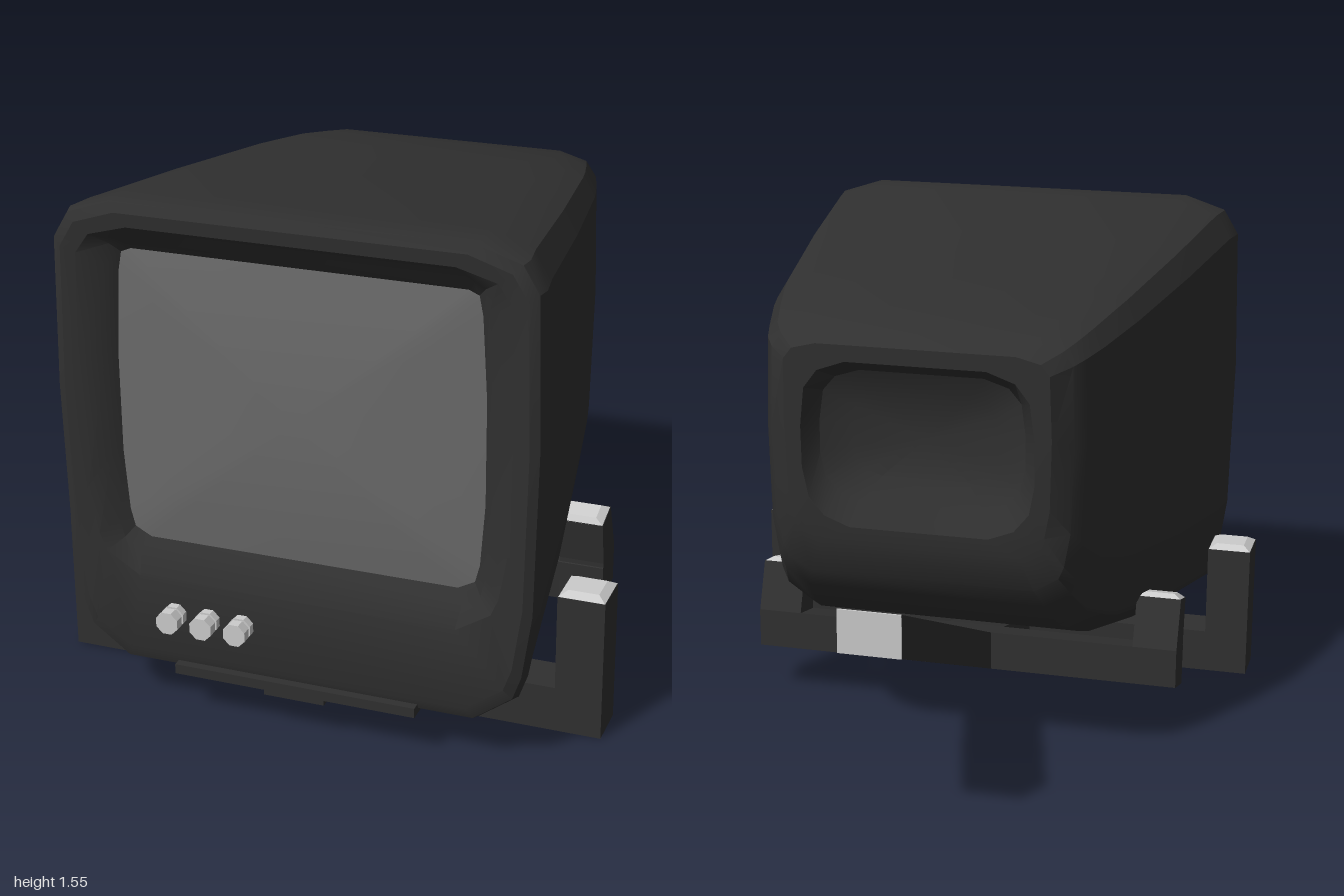
import * as THREE from 'three';
import { toCreasedNormals } from 'three/addons/utils/BufferGeometryUtils.js';

const dark = new THREE.MeshStandardMaterial({ color: 0x303030 });
const glass = new THREE.MeshStandardMaterial({ color: 0x6a6a6a });
const grey = new THREE.MeshStandardMaterial({ color: 0xcccccc });

// Half outlines, top to bottom: [fraction of half width, fraction of height]
const SHELL = [[0.74, 1], [0.92, 0.97], [0.985, 0.915], [1, 0.6], [0.985, 0.25], [0.945, 0.11], [0.91, 0.06], [0.75, 0]];
const SCREEN = [[0.9, 1], [0.955, 0.985], [0.975, 0.92], [1, 0.65], [1, 0.3], [0.975, 0.09], [0.95, 0.03], [0.86, 0]];
const DISH = [[0.6, 1], [0.84, 0.94], [0.96, 0.83], [1, 0.6], [1, 0.35], [0.95, 0.17], [0.82, 0.06], [0.6, 0]];

// One cross-section; tilt moves its lower edge forward
function ring(outline, z, w, top, bottom, tilt = 0) {
  const half = outline.map(([x, f]) => [x * w, bottom + f * (top - bottom), z + tilt * (1 - f)]);
  return [...half, ...half.map(([x, y, d]) => [-x, y, d]).reverse()];
}

// Skin a list of cross-sections that runs from front to back
function loft(rings, crease) {
  const n = rings[0].length;
  const index = [];
  for (let i = 0; i < rings.length - 1; i++) {
    for (let j = 0; j < n; j++) {
      const a = i * n + j, b = i * n + (j + 1) % n;
      index.push(a, b, a + n, b, b + n, a + n);
    }
  }
  const geo = new THREE.BufferGeometry();
  geo.setAttribute('position', new THREE.Float32BufferAttribute(rings.flat(2), 3));
  geo.setIndex(index);
  return toCreasedNormals(geo, crease);
}

// Side profile of [z, y] points, extruded across x
function sideExtrude(points, width) {
  const shape = new THREE.Shape(points.map(([z, y]) => new THREE.Vector2(z, y)));
  return new THREE.ExtrudeGeometry(shape, { depth: width, bevelEnabled: false })
    .translate(0, 0, -width / 2).rotateY(-Math.PI / 2);
}

export function createModel() {
  const model = new THREE.Group();
  model.name = 'monitorOnBracket';
  function add(name, geo, material, x = 0, y = 0, z = 0, parent = model) {
    const mesh = new THREE.Mesh(geo, material);
    mesh.name = name;
    mesh.position.set(x, y, z);
    parent.add(mesh);
    return mesh;
  }

  // Housing: bezel, tapered shell, rounded tail and the hollow in the back
  add('housing', loft([
    ring(SCREEN, 0.875, 0.545, 1.4, 0.52),
    ring(SCREEN, 0.9, 0.57, 1.43, 0.49),
    ring(SHELL, 0.935, 0.64, 1.48, 0.42),
    ring(SHELL, 0.94, 0.685, 1.52, 0.18),
    ring(SHELL, 0.925, 0.71, 1.545, 0.145),
    ring(SHELL, 0.89, 0.72, 1.55, 0.135),
    ring(SHELL, 0.8, 0.705, 1.548, 0.15),
    ring(SHELL, 0.35, 0.645, 1.505, 0.245),
    ring(SHELL, -0.1, 0.572, 1.458, 0.365),
    ring(SHELL, -0.18, 0.555, 1.448, 0.395),
    ring(SHELL, -0.33, 0.515, 1.42, 0.47),
    ring(SHELL, -0.43, 0.485, 1.4, 0.565),
    ring(SHELL, -0.48, 0.455, 1.38, 0.63),
    ring(SHELL, -0.54, 0.4, 1.35, 0.74, 0.03),
    ring(DISH, -0.538, 0.35, 1.3, 0.79, 0.025),
    ring(DISH, -0.47, 0.31, 1.26, 0.86),
    ring(DISH, -0.43, 0.22, 1.18, 0.93),
    ring(DISH, -0.42, 0, 1.05, 1.05),
  ], 0.45), dark);

  // Gently bulging picture tube
  const screenRings = [0, 0.25, 0.5, 0.75, 1].map((s) =>
    ring(SCREEN, 0.91 - 0.035 * s * s, 0.545 * s, 0.96 + 0.44 * s, 0.96 - 0.44 * s));
  add('screen', loft(screenRings, 0.6), glass);

  // Row of control knobs
  for (const x of [-0.37, -0.265, -0.16]) {
    const knob = new THREE.Group();
    knob.name = 'knob';
    knob.position.set(x, 0.315, 0);
    model.add(knob);
    for (const [name, r, z0, z1] of [['knobBase', 0.036, 0.92, 0.96], ['knobNeck', 0.03, 0.955, 0.972], ['knobCap', 0.036, 0.97, 1]]) {
      const geo = new THREE.CylinderGeometry(r, r, z1 - z0, 8).rotateX(Math.PI / 2).rotateZ(Math.PI / 8);
      add(name, toCreasedNormals(geo, 0.3), grey, 0, 0, (z0 + z1) / 2, knob);
    }
  }

  // Bracket: bent central beam with a pale rear end
  add('beam', sideExtrude([
    [0.95, 0.11], [0.77, 0.11], [0.68, 0], [0.55, 0], [0, 0.16], [-0.995, 0.6],
    [-0.995, 0.73], [0, 0.285], [0.55, 0.135], [0.95, 0.135],
  ], 0.185), dark);
  add('beamEnd', new THREE.BoxGeometry(0.185, 0.13, 0.006), grey, 0, 0.665, -0.997);
  add('frontLip', new THREE.BoxGeometry(0.74, 0.03, 0.065), dark, 0, 0.145, 0.925);

  // Crossbars
  add('frontCrossbar', new THREE.BoxGeometry(1.68, 0.14, 0.14), dark, 0, 0.07, 0.61);
  add('rearCrossbar', sideExtrude([[0.12, 0.125], [0, 0.16], [0, 0.285], [0.13, 0.255]], 1.38), dark);

  // Upright prongs with bevelled tips, mirrored
  const tip = new THREE.CylinderGeometry(0.045 * Math.SQRT2, 0.07 * Math.SQRT2, 0.016, 4).rotateY(Math.PI / 4);
  const tipGeo = toCreasedNormals(tip, 0.2);
  const rearProng = sideExtrude([[0.125, 0.125], [0, 0.16], [0, 0.28], [0.06, 0.435], [0.15, 0.41], [0.125, 0.27]], 0.14);
  for (const side of [1, -1]) {
    add('frontProng', new THREE.BoxGeometry(0.14, 0.3, 0.14), dark, side * 0.77, 0.285, 0.61);
    add('frontProngTip', tipGeo, grey, side * 0.77, 0.442, 0.61);
    add('rearProng', rearProng, dark, side * 0.62);
    const rearTip = add('rearProngTip', tipGeo, grey, side * 0.62, 0.429, 0.107);
    rearTip.rotation.x = 0.27;
    rearTip.scale.z = 0.667;
  }
  return model;
}
